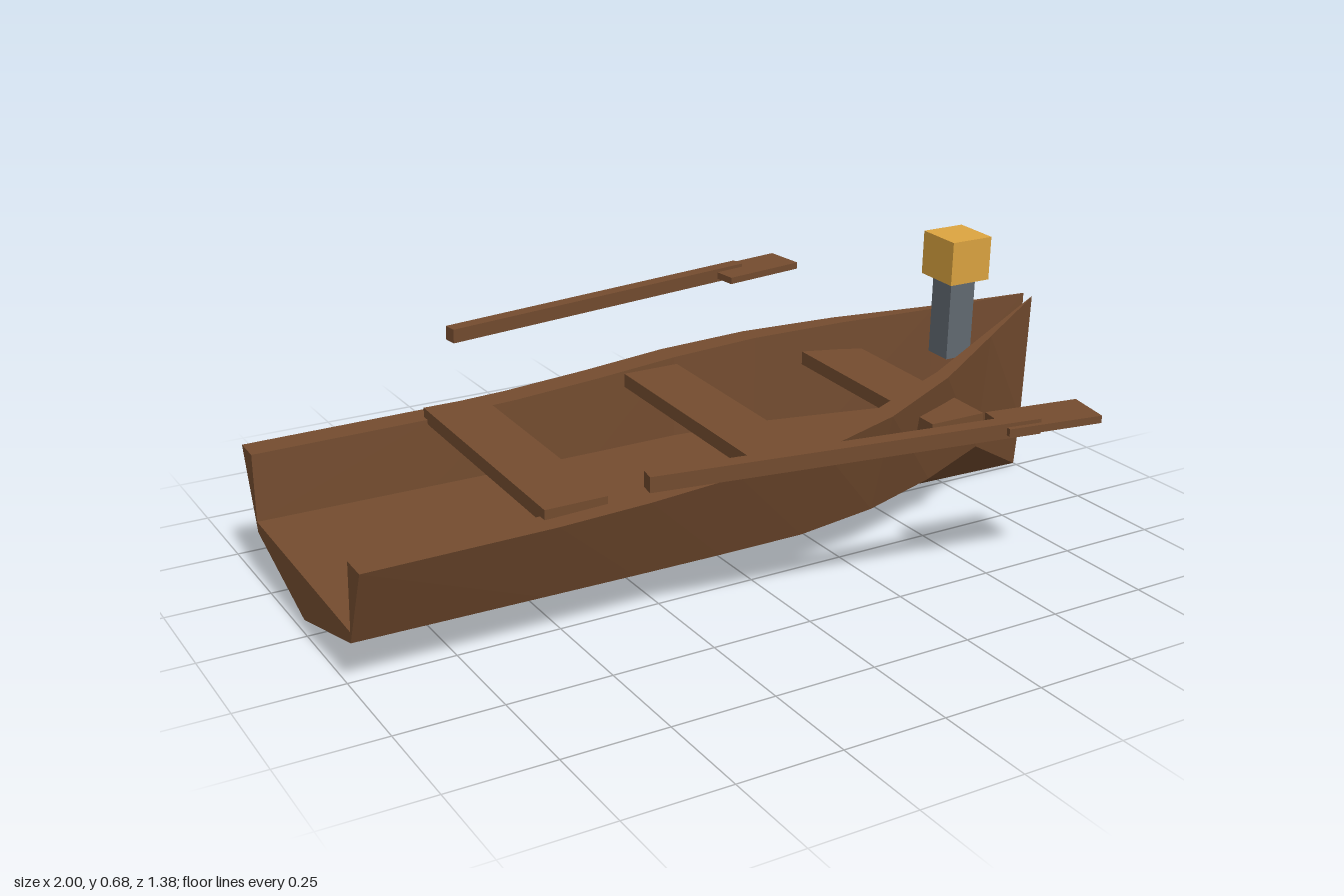
import * as THREE from 'three';

function material(name, color) {
  const m = new THREE.MeshStandardMaterial({ color });
  m.name = name;
  m.flatShading = true;
  return m;
}

// Stations from stern to bow:
// [x, keelY, chineZ, chineY, rimZ, rimY, innerRimZ, floorZ, floorY]
const STATIONS = [
  [-1, 0.035, 0.3, 0.122, 0.376, 0.315, 0.308, 0.303, 0.148],
  [-0.556, 0.027, 0.3, 0.118, 0.376, 0.318, 0.308, 0.303, 0.146],
  [-0.333, 0.024, 0.3, 0.116, 0.376, 0.326, 0.308, 0.303, 0.145],
  [-0.111, 0.02, 0.3, 0.115, 0.376, 0.341, 0.308, 0.303, 0.145],
  [0.111, 0.016, 0.3, 0.116, 0.376, 0.36, 0.308, 0.303, 0.146],
  [0.333, 0.012, 0.268, 0.12, 0.335, 0.385, 0.276, 0.27, 0.152],
  [0.556, 0.008, 0.2, 0.126, 0.25, 0.413, 0.206, 0.2, 0.162],
  [0.778, 0.004, 0.105, 0.133, 0.132, 0.445, 0.109, 0.104, 0.182],
  [1, 0, 0.011, 0.136, 0.018, 0.481, 0.016, 0.012, 0.21],
];

// Closed cross-section: keel, up one side, over the rim, across the floor and back
function section([x, ky, cz, cy, rz, ry, iz, fz, fy]) {
  const half = [[cz, cy], [rz, ry], [iz, ry], [fz, fy]];
  const other = half.map(([z, y]) => [-z, y]).reverse();
  return [[0, ky], ...half, ...other].map(([z, y]) => [x, y, z]);
}

function hullGeometry() {
  const rings = STATIONS.map(section);
  const n = rings[0].length;
  const pos = [];
  const tri = (a, b, c) => pos.push(...a, ...b, ...c);
  for (let i = 0; i < rings.length - 1; i++) {
    const a = rings[i], b = rings[i + 1];
    for (let j = 0; j < n; j++) {
      const k = (j + 1) % n;
      // Diagonals mirror across the keel
      if (j < n / 2 - 1) {
        tri(a[j], b[j], a[k]);
        tri(b[j], b[k], a[k]);
      } else {
        tri(a[j], b[j], b[k]);
        tri(a[j], b[k], a[k]);
      }
    }
  }
  // End caps at stern and bow
  const cap = [[0, 1, 4], [0, 4, 5], [0, 5, 8], [1, 2, 3], [1, 3, 4], [5, 6, 7], [5, 7, 8]];
  const stern = rings[0], bow = rings[rings.length - 1];
  for (const [p, q, r] of cap) {
    tri(stern[p], stern[q], stern[r]);
    tri(bow[p], bow[r], bow[q]);
  }
  const g = new THREE.BufferGeometry();
  g.setAttribute('position', new THREE.Float32BufferAttribute(pos, 3));
  g.computeVertexNormals();
  return g;
}

export function createModel() {
  const wood = material('brownWood', 0x744c2f);
  const metal = material('greyMetal', 0x626a72);
  const glow = material('amberLantern', 0xdca440);

  const model = new THREE.Group();
  model.name = 'rowingBoat';

  // Everything leans slightly to one side
  const boat = new THREE.Group();
  boat.name = 'boat';
  boat.rotation.x = 0.03;
  boat.position.z = -0.013;
  model.add(boat);

  function add(name, geometry, mat, x, y, z, parent = boat) {
    const mesh = new THREE.Mesh(geometry, mat);
    mesh.name = name;
    mesh.position.set(x, y, z);
    parent.add(mesh);
    return mesh;
  }

  add('hull', hullGeometry(), wood, 0, 0, 0);

  // Benches
  const benches = [['rearBench', -0.491, 0.324], ['middleBench', 0.043, 0.323], ['frontBench', 0.531, 0.322]];
  for (const [name, x, y] of benches) {
    add(name, new THREE.BoxGeometry(0.152, 0.035, 0.66), wood, x, y, 0);
  }

  // Oars, mirrored on both sides
  for (const side of [1, -1]) {
    const oar = new THREE.Group();
    oar.name = side > 0 ? 'frontOar' : 'backOar';
    oar.position.set(0.042, 0.446, side * 0.575);
    oar.rotation.y = -side * 0.143;
    boat.add(oar);
    add('oarShaft', new THREE.BoxGeometry(0.93, 0.036, 0.036), wood, 0, 0, 0, oar);
    add('oarBlade', new THREE.BoxGeometry(0.238, 0.018, 0.108), wood, 0.497, 0, -side * 0.024, oar);
  }

  // Bow lantern on a square post
  add('lanternPost', new THREE.BoxGeometry(0.075, 0.21, 0.075), metal, 0.753, 0.467, 0);
  add('lantern', new THREE.BoxGeometry(0.118, 0.112, 0.122), glow, 0.755, 0.625, 0);

  return model;
}
